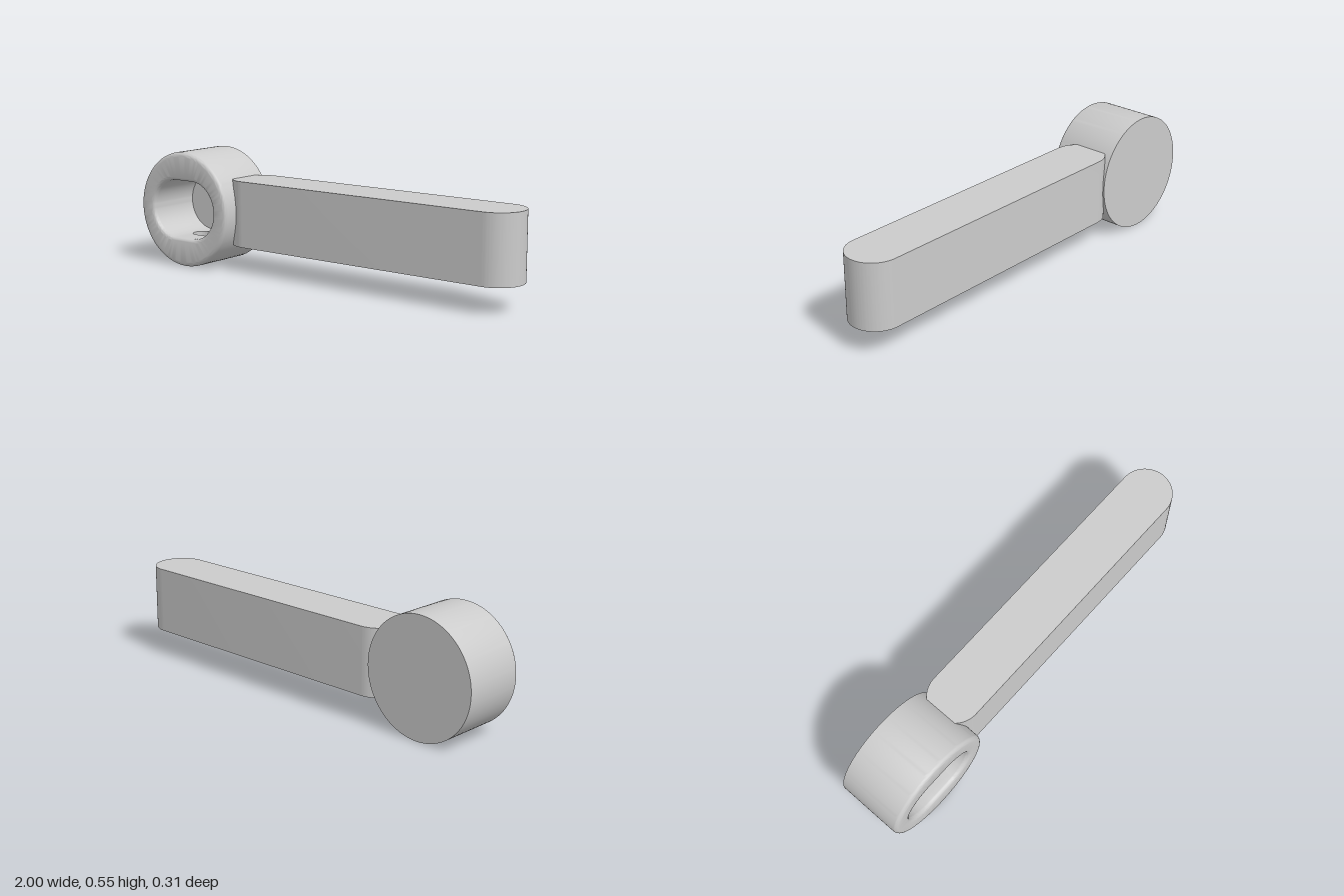
import * as THREE from 'three';
import { mergeGeometries, toCreasedNormals } from 'three/addons/utils/BufferGeometryUtils.js';

const R = 0.273, BACK = -0.155, FRONT = 0.155;   // hub cylinder
const FLAT = 0.05, SLOT = 0.137, FLOOR = -0.11;  // slot: half straight length, end radius, floor
const OUT = 0.022, LIP = 0.02;                   // rounded rims
const N = 128, GAP = 12;                         // points round the hub, half gap for the drain panel

// Distance from centre to the edge of a stadium in direction t
function ray(t, flat, r) {
  const c = Math.abs(Math.cos(t)), s = Math.abs(Math.sin(t));
  if (r * c <= flat * s) return r / s;
  return flat * c + Math.sqrt(r * r - flat * flat * s * s);
}

// Surface through closed rings of equal length
function loft(rings, skip = () => false) {
  const n = rings[0].length, index = [];
  for (let i = 0; i < rings.length - 1; i++) for (let j = 0; j < n; j++) {
    if (skip(i, j)) continue;
    const k = (j + 1) % n, a = i * n + j, b = i * n + k;
    index.push(a, b, a + n, b, b + n, a + n);
  }
  const g = new THREE.BufferGeometry();
  g.setAttribute('position', new THREE.Float32BufferAttribute(rings.flat(2), 3));
  g.setIndex(index);
  return g;
}

// Hub shell: back, outer wall, rounded front, slot wall, slot floor
function hubShell() {
  const sections = [[0, 0, BACK], [0, R, BACK]];
  const steps = 6;
  for (let i = 0; i <= steps; i++) {
    const a = i / steps * Math.PI / 2;
    sections.push([0, R - OUT * (1 - Math.cos(a)), FRONT - OUT * (1 - Math.sin(a))]);
  }
  for (let i = 0; i <= steps; i++) {
    const a = i / steps * Math.PI / 2;
    sections.push([FLAT, SLOT + LIP * (1 - Math.sin(a)), FRONT - LIP * (1 - Math.cos(a))]);
  }
  sections.push([FLAT, SLOT, FLOOR], [0, 0, FLOOR]);
  const rings = sections.map(([flat, r, z]) => Array.from({ length: N }, (_, j) => {
    const t = j / N * Math.PI * 2, d = r ? ray(t, flat, r) : 0;
    return [d * Math.cos(t), d * Math.sin(t), z];
  }));
  const outerWall = 1, slotWall = sections.length - 3;
  return loft(rings, (i, j) => (i === outerWall || i === slotWall)
    && j >= N * 0.75 - GAP && j < N * 0.75 + GAP);
}

// Bottom panel of the hub with the drain hole through it
function drainPanel() {
  const phi = GAP / N * Math.PI * 2;
  const low = (x, flat, r) => -Math.sqrt(r * r - Math.max(0, Math.abs(x) - flat) ** 2);
  const sides = [
    { flat: 0, r: R, hw: R * Math.sin(phi), z0: BACK, z1: FRONT - OUT },
    { flat: FLAT, r: SLOT, hw: ray(phi - Math.PI / 2, FLAT, SLOT) * Math.sin(phi), z0: FLOOR, z1: FRONT - LIP },
  ];
  // even directions plus those of the panel corners
  const angles = Array.from({ length: 72 }, (_, i) => -Math.PI + (i + 0.5) / 72 * Math.PI * 2);
  for (const s of sides) for (const x of [-s.hw, s.hw]) angles.push(Math.atan2(s.z0, x), Math.atan2(s.z1, x));
  angles.sort((a, b) => a - b);

  const ring = (s, f) => angles.map(t => {
    const c = Math.cos(t), n = Math.sin(t);
    const edge = Math.min(s.hw / Math.abs(c), (n > 0 ? s.z1 : s.z0) / n);
    const d = THREE.MathUtils.lerp(edge, ray(t, 0.02, 0.045), f);
    return [d * c, low(d * c, s.flat, s.r), d * n];
  });
  const f = [0, 0.25, 0.5, 0.75, 1];
  return loft([...f.map(v => ring(sides[0], v)), ...f.reverse().map(v => ring(sides[1], v))]);
}

// Bar with round ends, its near end sunk in the hub wall
function armGeometry() {
  const r = 0.1225, z = -0.0325, s = new THREE.Shape();
  s.absarc(1 - r, -z, r, -Math.PI / 2, Math.PI / 2);
  s.absarc(-0.412, -z, r, Math.PI / 2, Math.PI * 1.5);
  const g = new THREE.ExtrudeGeometry(s, { depth: 0.309, bevelEnabled: false, curveSegments: 32 });
  g.rotateX(-Math.PI / 2);
  return toCreasedNormals(g, 0.6);
}

export function createModel() {
  const group = new THREE.Group();
  group.name = 'leverHandle';
  const material = new THREE.MeshStandardMaterial({ color: 0xcccccc });

  const hub = new THREE.Mesh(toCreasedNormals(mergeGeometries([hubShell(), drainPanel()]), 0.6), material);
  hub.name = 'hub';
  hub.position.set(-0.727, R, 0);

  const arm = new THREE.Mesh(armGeometry(), material);
  arm.name = 'arm';
  arm.position.y = 0.12;

  group.add(hub, arm);
  return group;
}
